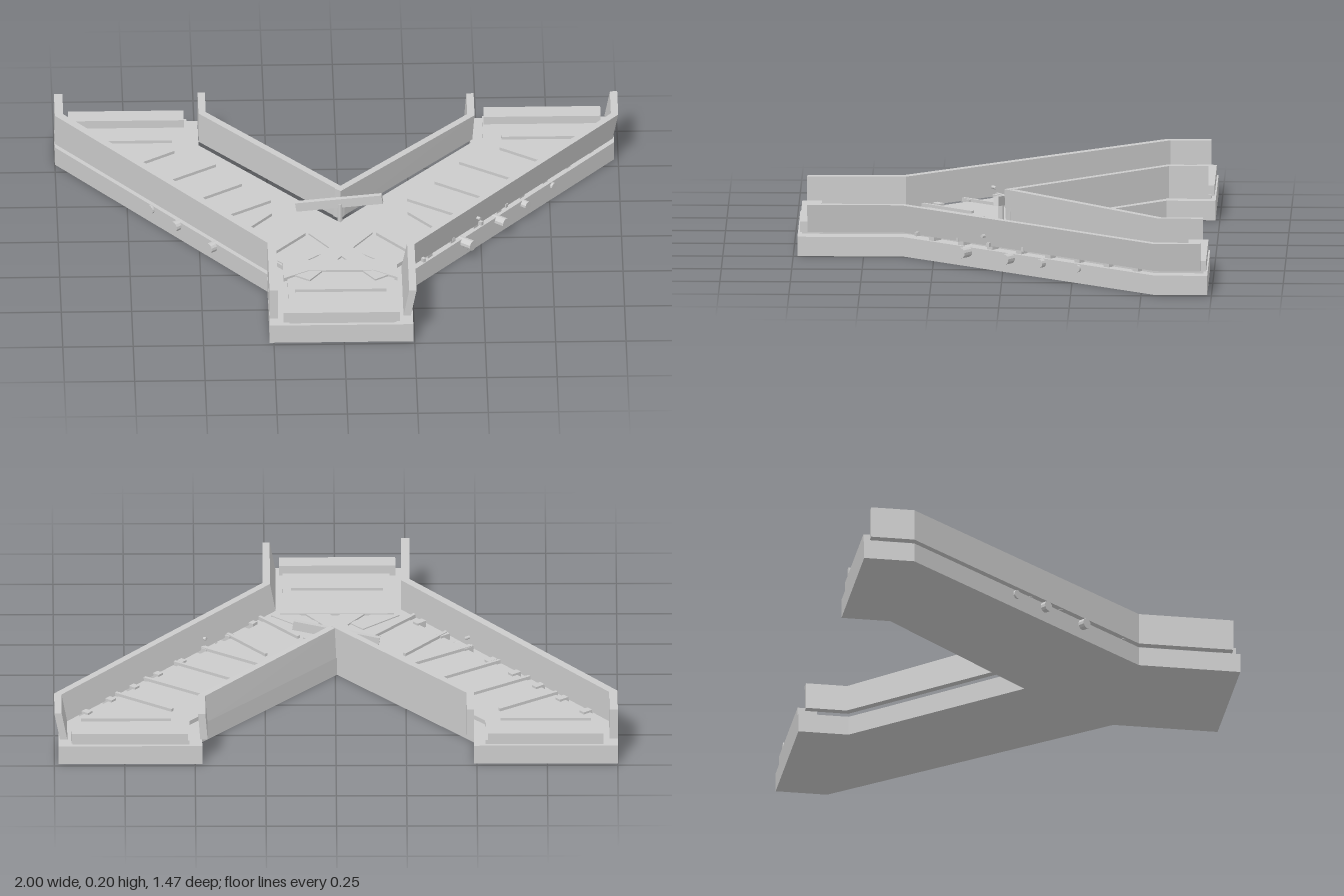
import * as THREE from 'three';

const material = new THREE.MeshStandardMaterial({ color: 0xcccccc, flatShading: true });

export function createModel() {
  const root = new THREE.Group();
  const add = (name, geometry) => {
    const mesh = new THREE.Mesh(geometry, material);
    mesh.name = name;
    root.add(mesh);
    return mesh;
  };

  // Horizontal slab from an outline of [x, z] points
  const slab = (name, outline, y, height) => {
    const shape = new THREE.Shape(outline.map(([x, z]) => new THREE.Vector2(x, -z)));
    const geometry = new THREE.ExtrudeGeometry(shape, { depth: height, bevelEnabled: false });
    geometry.rotateX(-Math.PI / 2);
    geometry.translate(0, y, 0);
    return add(name, geometry);
  };

  // Straight bar lying between two [x, z] points
  const bar = (name, [x0, z0], [x1, z1], y, width, height) => {
    const mesh = add(name, new THREE.BoxGeometry(Math.hypot(x1 - x0, z1 - z0), height, width));
    mesh.position.set((x0 + x1) / 2, y + height / 2, (z0 + z1) / 2);
    mesh.rotation.y = -Math.atan2(z1 - z0, x1 - x0);
    return mesh;
  };

  // Mitred wall along [x, z, topY] points; side picks the inward direction,
  // lean pushes the top edge outward
  const wall = (name, path, side, thickness, lean) => {
    const normalOf = (a, b) => {
      const dx = b[0] - a[0], dz = b[1] - a[1], l = Math.hypot(dx, dz);
      return new THREE.Vector2(-dz / l * side, dx / l * side);
    };
    const sections = path.map((p, i) => {
      const a = normalOf(path[Math.max(i - 1, 0)], path[Math.max(i, 1)]);
      const last = path.length - 1;
      const b = normalOf(path[Math.min(i, last - 1)], path[Math.min(i + 1, last)]);
      const n = a.clone().add(b).divideScalar(1 + a.dot(b));
      const at = (offset, y) => [p[0] + n.x * offset, y, p[1] + n.y * offset];
      return [at(0, 0.085), at(thickness, 0.085), at(thickness - lean, p[2]), at(-lean, p[2])];
    });
    const positions = [];
    const quad = (a, b, c, d) => {
      const corners = side > 0 ? [a, b, c, a, c, d] : [a, c, b, a, d, c];
      corners.forEach((v) => positions.push(...v));
    };
    for (let i = 0; i + 1 < sections.length; i++) {
      for (let k = 0; k < 4; k++) {
        const m = (k + 1) % 4;
        quad(sections[i][k], sections[i + 1][k], sections[i + 1][m], sections[i][m]);
      }
    }
    const s = sections[0], e = sections[sections.length - 1];
    quad(s[0], s[1], s[2], s[3]);
    quad(e[3], e[2], e[1], e[0]);
    const geometry = new THREE.BufferGeometry();
    geometry.setAttribute('position', new THREE.Float32BufferAttribute(positions, 3));
    geometry.computeVertexNormals();
    return add(name, geometry);
  };

  // Forked base and the thin deck above it
  slab('base', [
    [-0.265, 0.735], [0.245, 0.735], [0.245, 0.36], [0.985, -0.55], [0.985, -0.735], [0.475, -0.735],
    [0.475, -0.555], [-0.005, 0], [-0.49, -0.56], [-0.49, -0.735], [-1, -0.735], [-1, -0.555], [-0.265, 0.37],
  ], 0, 0.07);
  slab('deck', [
    [-0.195, 0.72], [0.185, 0.72], [0.185, 0.345], [0.935, -0.55], [0.935, -0.72], [0.52, -0.72],
    [0.52, -0.56], [0, 0.03], [-0.53, -0.56], [-0.53, -0.72], [-0.95, -0.72], [-0.95, -0.55], [-0.195, 0.355],
  ], 0.066, 0.02);

  // Side walls: upright on the right arm, leaning outward on the left arm
  wall('rightOuterWall', [[-0.265, 0.71, 0.2], [-0.265, 0.37, 0.2], [-1, -0.555, 0.2], [-1, -0.71, 0.2]], 1, 0.03, 0);
  wall('leftOuterWall', [[0.237, 0.7, 0.187], [0.237, 0.36, 0.187], [0.98, -0.55, 0.187], [0.98, -0.71, 0.187]], -1, 0.026, 0.02);
  wall('rightInnerWall', [[-0.49, -0.71, 0.2], [-0.49, -0.56, 0.2], [-0.003, 0, 0.2]], -1, 0.026, 0);
  wall('leftInnerWall', [[0.482, -0.71, 0.185], [0.482, -0.555, 0.185], [-0.003, 0, 0.2]], 1, 0.026, 0.008);

  // Raised lips at the three ends
  bar('frontLip', [-0.215, 0.692], [0.197, 0.692], 0.078, 0.07, 0.038);
  bar('rightRearLip', [-0.95, -0.695], [-0.54, -0.695], 0.078, 0.07, 0.038);
  bar('leftRearLip', [0.525, -0.695], [0.94, -0.695], 0.078, 0.07, 0.038);

  // Cross slats on the deck
  bar('frontSlat', [-0.17, 0.52], [0.155, 0.52], 0.083, 0.012, 0.014);
  const slats = [
    [0.905, -0.556, 0.585, -0.556], [0.785, -0.34, 0.58, -0.48], [0.69, -0.21, 0.435, -0.38],
    [0.595, -0.07, 0.345, -0.24], [0.505, 0.055, 0.245, -0.12], [0.4, 0.165, 0.245, -0.025],
    [0.295, 0.315, 0.13, 0.12],
  ];
  const up = new THREE.Vector3(0, 1, 0);
  for (const s of [-1, 1]) {
    const sideName = s > 0 ? 'left' : 'right';
    for (const [x0, z0, x1, z1] of slats) {
      bar(sideName + 'Slat', [s * x0, z0], [s * x1, z1], 0.083, 0.012, 0.014);
    }

    // Direction straight out of the diagonal side
    const out = new THREE.Vector3(0.782 * s, 0, 0.623).normalize();
    const edgeX = (z) => s * (0.255 + (0.365 - z) * 0.8);
    const pin = (name, z, y, radius, length, reach) => {
      const mesh = add(name, new THREE.CylinderGeometry(radius, radius, length, 12));
      mesh.quaternion.setFromUnitVectors(up, out);
      mesh.position.set(edgeX(z), y, z).addScaledVector(out, reach - length / 2);
    };

    // Bolts below the walls, and small pins through them
    [[0.13, 0.019, 0.034], [-0.025, 0.019, 0.03], [-0.14, 0.016, 0.016], [-0.27, 0.013, 0.005]]
      .forEach(([z, radius, reach]) => pin(sideName + 'Bolt', z, 0.054, radius, 0.06, reach));
    pin(sideName + 'Pin', 0.07, 0.12, 0.006, 0.05, 0.008);

    // Small brackets joining wall and deck
    for (let i = 0; i < 8; i++) {
      const z = 0.27 - i * 0.105;
      const x = edgeX(z);
      bar(sideName + 'Bracket', [x - out.x * 0.02, z - out.z * 0.02],
        [x - out.x * 0.06, z - out.z * 0.06], 0.07, 0.025, 0.024);
    }

    // Diagonal straps at the junction
    bar(sideName + 'CrossStrap', [s * 0.145, 0.43], [-s * 0.085, 0.095], 0.08, 0.07, 0.012);
    bar(sideName + 'BranchStrap', [s * 0.075, 0.215], [s * 0.205, 0.33], 0.08, 0.07, 0.01);
  }
  slab('junctionPlate', [
    [-0.21, 0.31], [0.195, 0.31], [0.195, 0.44], [0.11, 0.385], [-0.12, 0.385], [-0.21, 0.44],
  ], 0.08, 0.014);

  // Tilted diverter arm and its pivot
  const arm = add('diverterArm', new THREE.BoxGeometry(0.312, 0.034, 0.018));
  arm.position.set(-0.003, 0.158, 0.013);
  arm.rotation.set(0, -0.12, 0.16);
  const pivot = add('diverterPivot', new THREE.CylinderGeometry(0.01, 0.01, 0.08, 10));
  pivot.position.set(0, 0.115, 0.016);

  return root;
}
